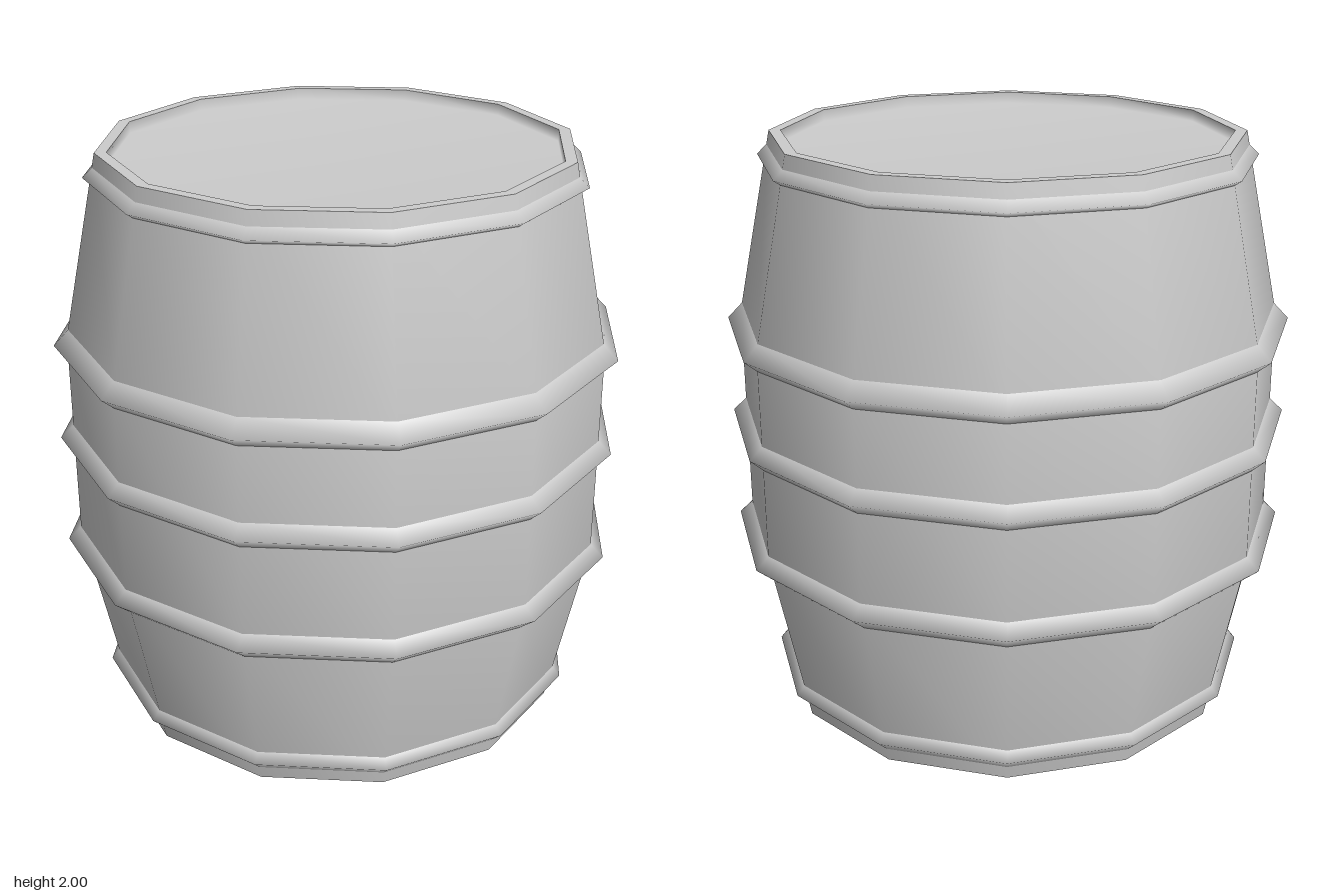
import * as THREE from 'three';

const SIDES = 12;

export function createModel() {
  const barrel = new THREE.Group();
  barrel.name = 'barrel';

  const grey = new THREE.MeshStandardMaterial({ color: 0xcccccc });
  grey.name = 'plain grey';

  // Turns a profile of [radius, height] points into a twelve-sided part
  const turn = (name, profile) => {
    const points = profile.map(([r, y]) => new THREE.Vector2(r, y));
    const mesh = new THREE.Mesh(new THREE.LatheGeometry(points, SIDES), grey);
    mesh.name = name;
    barrel.add(mesh);
  };

  // Bulging wall
  turn('wall', [[0.8, 0], [0.93, 0.63], [0.93, 1.37], [0.8, 2]]);

  // Flat rims
  turn('topRim', [[0.8, 2], [0.76, 2]]);
  turn('bottomRim', [[0.76, 0], [0.8, 0]]);

  // Shallow sunken ends, softly shaded into their lips
  turn('topEnd', [[0.76, 2], [0.76, 1.96], [0, 1.96]]);
  turn('bottomEnd', [[0, 0.04], [0.76, 0.04], [0.76, 0]]);

  // Hoops: lower edge, ridge, upper edge
  const hoops = {
    bottomHoop: [[0.805, 0.043], [0.852, 0.087], [0.823, 0.122]],
    lowerHoop: [[0.912, 0.552], [0.975, 0.605], [0.928, 0.65]],
    middleHoop: [[0.928, 0.96], [0.975, 1.003], [0.928, 1.048]],
    upperHoop: [[0.928, 1.305], [0.975, 1.345], [0.923, 1.4]],
    topHoop: [[0.818, 1.903], [0.843, 1.92], [0.809, 1.953]],
  };
  for (const [name, profile] of Object.entries(hoops)) turn(name, profile);

  return barrel;
}
